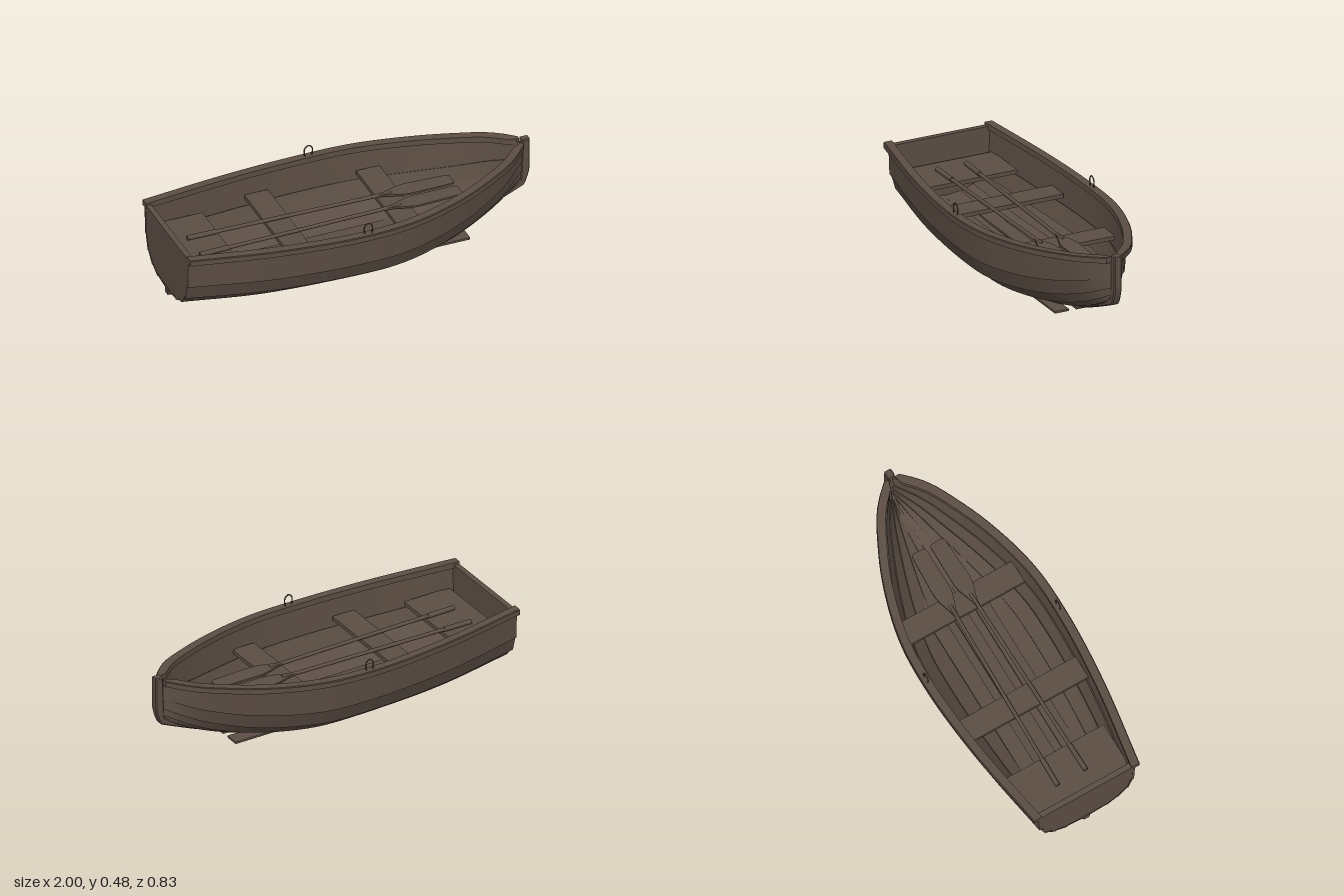
import * as THREE from 'three';

const wood = new THREE.MeshStandardMaterial({ color: 0x5c4e44 });
wood.name = 'dark weathered wood';

// smooth function through a few stations along the boat
function curve(xs, ys) {
  const f = new THREE.CubicInterpolant(xs, ys, 1);
  return x => f.evaluate(x)[0];
}
const beam = curve([-1, -0.5, -0.08, 0.2, 0.5, 0.7, 0.83, 0.96], [0.285, 0.36, 0.388, 0.372, 0.292, 0.204, 0.13, 0.012]);
const sheer = curve([-1, -0.5, 0, 0.5, 0.96], [0.42, 0.402, 0.395, 0.415, 0.462]);
const bottom = curve([-1, -0.6, -0.2, 0.3, 0.6, 0.8, 0.96], [0.085, 0.05, 0.043, 0.046, 0.085, 0.15, 0.235]);

const STATIONS = Array.from({ length: 41 }, (_, i) => -1 + 1.957 * i / 40);

// plank seams, from sheer to keel, as shares of beam and height
const FULL = [[1, 1], [0.95, 0.5], [0.835, 0.25], [0.64, 0.095], [0.4, 0.015], [0, 0]];
const SHARP = [[1, 1], [0.84, 0.55], [0.64, 0.3], [0.43, 0.14], [0.22, 0.05], [0, 0]];
function seam(x, j) {
  const t = Math.pow(THREE.MathUtils.clamp((x - 0.1) / 0.86, 0, 1), 1.5);
  const z = THREE.MathUtils.lerp(FULL[j][0], SHARP[j][0], t);
  const y = THREE.MathUtils.lerp(FULL[j][1], SHARP[j][1], t);
  return [z * beam(x), bottom(x) + y * (sheer(x) - bottom(x))];
}

// sweep a closed [z, y] section along x: smooth lengthwise, sharp across
function loft(section, side) {
  const rings = STATIONS.map(x => {
    const ring = section(x).map(([z, y]) => [x, y, z * side]);
    return side < 0 ? ring.reverse() : ring;
  });
  const pos = [], idx = [], n = rings[0].length, last = rings.length - 1;
  for (let j = 0; j < n; j++) {
    const base = pos.length / 3;
    rings.forEach(r => pos.push(...r[j], ...r[(j + 1) % n]));
    for (let i = 0; i < last; i++) {
      const a = base + 2 * i;
      idx.push(a, a + 2, a + 1, a + 1, a + 2, a + 3);
    }
  }
  for (const end of [0, last]) {
    const base = pos.length / 3;
    rings[end].forEach(p => pos.push(...p));
    for (let k = 1; k < n - 1; k++) {
      if (end) idx.push(base, base + k + 1, base + k);
      else idx.push(base, base + k, base + k + 1);
    }
  }
  const g = new THREE.BufferGeometry();
  g.setAttribute('position', new THREE.Float32BufferAttribute(pos, 3));
  g.setIndex(idx);
  g.computeVertexNormals();
  return g;
}

// one overlapping plank, its lower edge standing proud of the next
function plank(j) {
  return x => {
    const [z0, y0] = seam(x, j), [z1, y1] = seam(x, j + 1);
    const len = Math.hypot(z1 - z0, y1 - y0) || 1;
    const nz = (y0 - y1) / len, ny = (z1 - z0) / len;
    const at = (z, y, d) => [Math.max(0, z + nz * d), y + ny * d];
    return [at(z1, y1, 0.008), at(z0, y0, 0), at(z0, y0, -0.01), at(z1, y1, -0.002)];
  };
}

function rail(x) {
  const b = beam(x), top = sheer(x) + 0.014;
  const slope = (beam(x + 0.01) - beam(x - 0.01)) / 0.02;
  const k = Math.min(1.4, Math.hypot(1, slope));
  const outer = b + 0.027 * k, inner = Math.max(0.018, b - 0.02 * k);
  return [[outer, top - 0.032], [outer, top - 0.004], [outer - 0.004, top], [inner, top], [inner, top - 0.032]];
}

function createModel() {
  const boat = new THREE.Group();
  boat.name = 'rowingBoat';
  const add = (name, geo, parent = boat) => {
    const m = new THREE.Mesh(geo, wood);
    m.name = name;
    parent.add(m);
    return m;
  };
  const box = (name, x0, x1, y0, y1, z0, z1) =>
    add(name, new THREE.BoxGeometry(x1 - x0, y1 - y0, z1 - z0))
      .position.set((x0 + x1) / 2, (y0 + y1) / 2, (z0 + z1) / 2);

  // planking and gunwales
  for (const side of [1, -1]) {
    const label = side > 0 ? 'left' : 'right';
    for (let j = 0; j < 5; j++) add(label + 'Plank' + (j + 1), loft(plank(j), side));
    add(label + 'Gunwale', loft(rail, side));
  }

  // transom
  const half = FULL.map((_, j) => seam(-1, j));
  const outline = [...half, ...half.slice(0, -1).reverse().map(([z, y]) => [-z, y])];
  const transom = new THREE.Shape(outline.map(([z, y]) => new THREE.Vector2(z, y)));
  const transomGeo = new THREE.ExtrudeGeometry(transom, { depth: 0.03, bevelEnabled: false });
  transomGeo.rotateY(Math.PI / 2);
  add('transom', transomGeo).position.x = -0.998;

  // keel sweeping up into the stem
  const spine = new THREE.Shape();
  spine.moveTo(-1, 0.05);
  spine.quadraticCurveTo(-0.75, 0.012, -0.6, 0.006);
  spine.lineTo(0.28, 0.006);
  spine.bezierCurveTo(0.5, 0.012, 0.68, 0.085, 0.965, 0.212);
  spine.quadraticCurveTo(0.985, 0.235, 1, 0.31);
  spine.lineTo(1, 0.488);
  spine.lineTo(0.958, 0.488);
  spine.lineTo(0.95, 0.25);
  for (const x of [0.88, 0.8, 0.7, 0.6, 0.45, 0.3, 0, -0.3, -0.6, -0.8, -1]) spine.lineTo(x, bottom(x) + 0.008);
  const keelGeo = new THREE.ExtrudeGeometry(spine, {
    depth: 0.032, bevelThickness: 0.006, bevelSize: 0.006, bevelOffset: -0.006, bevelSegments: 1, curveSegments: 14,
  });
  add('keelAndStem', keelGeo.translate(0, 0, -0.016));

  // floorboards and seats
  for (const z of [-0.122, 0, 0.122]) box('floorboard', -0.7, 0.61, 0.06, 0.071, z - 0.04, z + 0.04);
  box('sternSeat', -0.95, -0.68, 0.263, 0.285, -0.288, 0.288);
  box('middleThwart', -0.42, -0.29, 0.263, 0.285, -0.352, 0.352);
  box('forwardThwart', 0.19, 0.32, 0.263, 0.285, -0.335, 0.335);

  // oars resting on the seats
  const blade = new THREE.Shape();
  blade.moveTo(1.04, 0.008);
  blade.bezierCurveTo(1.12, 0.018, 1.14, 0.048, 1.22, 0.048);
  blade.lineTo(1.43, 0.042);
  blade.quadraticCurveTo(1.45, 0.04, 1.45, 0.025);
  blade.lineTo(1.45, -0.025);
  blade.quadraticCurveTo(1.45, -0.04, 1.43, -0.042);
  blade.lineTo(1.22, -0.048);
  blade.bezierCurveTo(1.14, -0.048, 1.12, -0.018, 1.04, -0.008);
  const bladeGeo = new THREE.ExtrudeGeometry(blade, { depth: 0.01, bevelEnabled: false, curveSegments: 8 });
  bladeGeo.translate(0, 0, -0.005).rotateX(-Math.PI / 2);
  const rod = (r, x0, x1) =>
    new THREE.CylinderGeometry(r, r, x1 - x0, 12).rotateZ(Math.PI / 2).translate((x0 + x1) / 2, 0, 0);
  for (const side of [1, -1]) {
    const oar = new THREE.Group();
    oar.name = side > 0 ? 'leftOar' : 'rightOar';
    add('shaft', rod(0.01, 0, 1.12), oar);
    add('grip', rod(0.013, 0, 0.16), oar);
    add('blade', bladeGeo, oar);
    oar.position.set(-0.85, 0.298, side * 0.083);
    oar.rotation.y = side * 0.02;
    boat.add(oar);
  }

  // oarlock hoops on the gunwales
  const hoop = new THREE.CatmullRomCurve3([
    [-0.016, 0.4], [-0.022, 0.425], [-0.02, 0.452], [0, 0.467], [0.02, 0.452], [0.022, 0.425], [0.016, 0.4],
  ].map(([x, y]) => new THREE.Vector3(x, y, 0)));
  const hoopGeo = new THREE.TubeGeometry(hoop, 28, 0.0035, 8);
  for (const side of [1, -1]) add('oarlock', hoopGeo).position.set(-0.05, 0, side * 0.39);

  return boat;
}

export { createModel };
